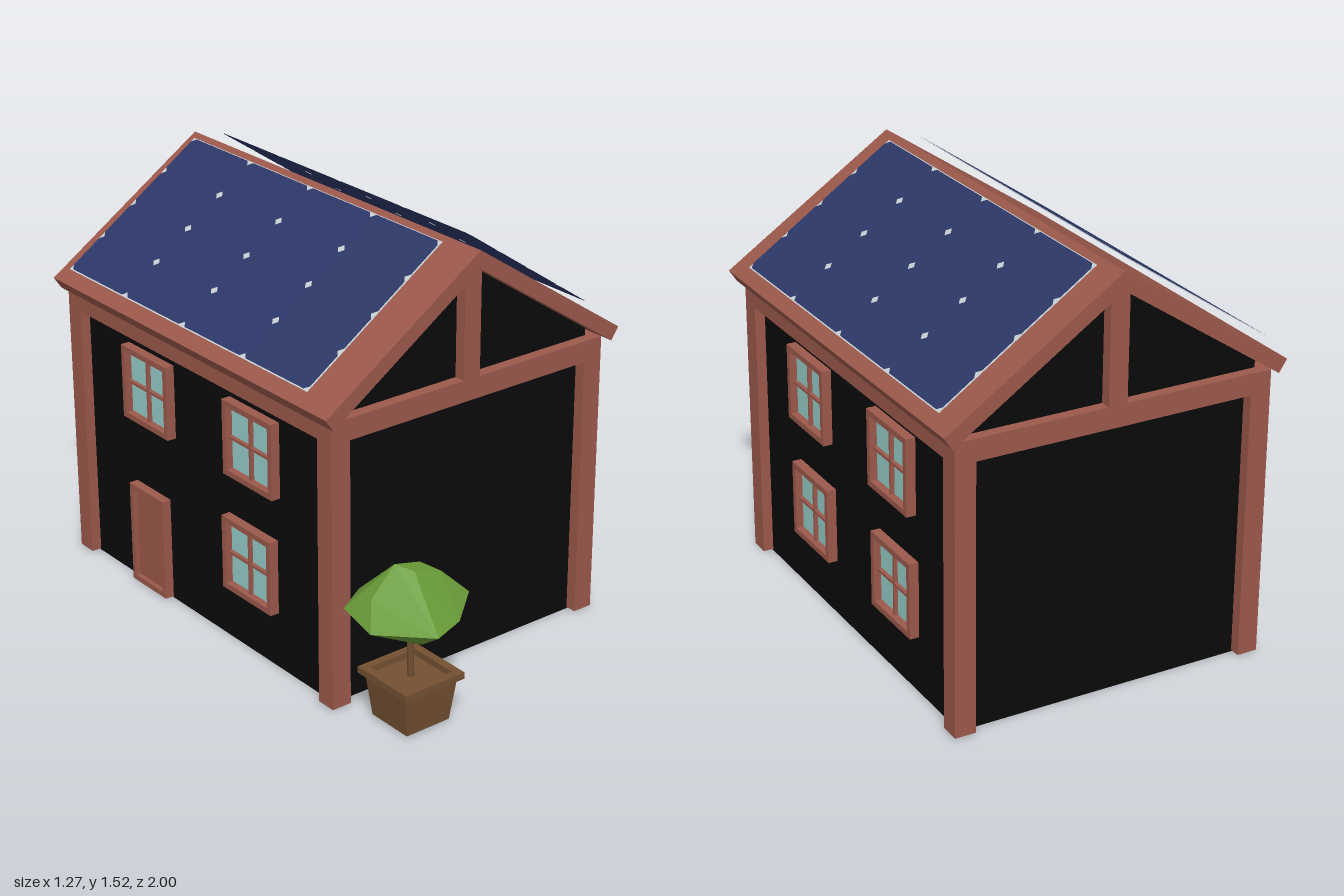
import * as THREE from 'three';
import { ConvexGeometry } from 'three/addons/geometries/ConvexGeometry.js';

const mat = (name, color, extra = {}) => {
  const m = new THREE.MeshStandardMaterial({ color, ...extra });
  m.name = name;
  return m;
};

export function createModel() {
  const M = {
    timber: mat('red timber', 0x9c594c),
    wall: mat('black wall', 0x0a0a0a),
    glass: mat('pale window glass', 0x97d0cc),
    cell: mat('navy solar cell', 0x2d3868, { side: THREE.DoubleSide }),
    backing: mat('light panel backing', 0xc8d0d4),
    pot: mat('brown pot', 0x735032),
    leaf: mat('green leaves', 0x6a9c38),
  };
  const model = new THREE.Group();
  model.name = 'house';

  const add = (parent, name, geo, material, x = 0, y = 0, z = 0) => {
    const mesh = new THREE.Mesh(geo, material);
    mesh.name = name;
    mesh.position.set(x, y, z);
    parent.add(mesh);
    return mesh;
  };
  // Box given by its limits on each axis
  const box = (parent, name, material, [x0, x1], [y0, y1], [z0, z1]) =>
    add(parent, name, new THREE.BoxGeometry(x1 - x0, y1 - y0, z1 - z0), material,
      (x0 + x1) / 2, (y0 + y1) / 2, (z0 + z1) / 2);
  const polygon = (pts) => new THREE.Shape(pts.map(([x, y]) => new THREE.Vector2(x, y)));
  const extrude = (shape, depth) => new THREE.ExtrudeGeometry(shape, { depth, bevelEnabled: false });

  // Walls with gable ends
  add(model, 'walls', extrude(polygon([[-0.55, 0], [0.55, 0], [0.55, 1.083], [0, 1.451], [-0.55, 1.083]]), 1.47),
    M.wall, 0, 0, -0.94);

  // Timber frame: corner posts, ring beam and gable king posts
  const X = 0.588, F = 0.572, B = -0.98, T = 0.076;
  const ends = [[F - T, F], [B, B + T]];
  const sides = [[-X, -X + T], [X - T, X]];
  for (const z of ends) {
    for (const x of sides) box(model, 'cornerPost', M.timber, x, [0.005, 1.055], z);
    box(model, 'endBeam', M.timber, [-X + T, X - T], [0.977, 1.055], z);
    box(model, 'kingPost', M.timber, [-0.035, 0.035], [1.055, 1.455], z);
  }
  for (const x of sides) box(model, 'sideBeam', M.timber, x, [0.977, 1.055], [B + T, F - T]);

  // Roof slab
  add(model, 'roof', extrude(polygon([[0, 1.515], [-0.635, 1.09], [-0.605, 1.045], [0, 1.45], [0.605, 1.045], [0.635, 1.09]]), 1.605),
    M.timber, 0, 0, -1.0);

  // Solar panels: chamfered cells over a light sheet, floating above the roof
  const W = 0.666, L = 1.395, N = 4, c = 0.017;
  const w = W / N / 2, l = L / N / 2;
  const cellGeo = new THREE.ShapeGeometry(polygon([
    [-w + c, -l], [w - c, -l], [w, -l + c], [w, l - c],
    [w - c, l], [-w + c, l], [-w, l - c], [-w, -l + c],
  ])).rotateX(-Math.PI / 2);
  for (const side of [1, -1]) {
    const panel = new THREE.Group();
    panel.name = 'solarPanel';
    panel.position.set(side * 0.335, 1.333, -0.223);
    panel.rotation.z = -side * Math.atan2(0.375, 0.55);
    add(panel, 'panelBacking', new THREE.PlaneGeometry(W + 0.008, L + 0.008).rotateX(-Math.PI / 2), M.backing, 0, -0.003, 0);
    for (let i = 0; i < N; i++) {
      for (let j = 0; j < N; j++) {
        add(panel, 'solarCell', cellGeo, M.cell, (2 * i + 1 - N) * w, 0, (2 * j + 1 - N) * l);
      }
    }
    model.add(panel);
  }

  // Frame with an opening, standing proud of a side wall (local +z points outwards)
  const frame = (width, height, border, depth) => {
    const rect = (a, b) => [[-a, -b], [a, -b], [a, b], [-a, b]];
    const shape = polygon(rect(width / 2, height / 2));
    shape.holes.push(polygon(rect(width / 2 - border, height / 2 - border)));
    return extrude(shape, depth);
  };
  const onSide = (name, side, y, z) => {
    const g = new THREE.Group();
    g.name = name;
    g.position.set(side * 0.55, y, z);
    g.rotation.y = side * Math.PI / 2;
    model.add(g);
    return g;
  };
  const addWindow = (side, y, z) => {
    const g = onSide('window', side, y, z);
    add(g, 'windowFrame', frame(0.278, 0.278, 0.021, 0.035), M.timber);
    box(g, 'windowGlass', M.glass, [-0.122, 0.122], [-0.122, 0.122], [0.001, 0.008]);
    box(g, 'verticalBar', M.timber, [-0.005, 0.005], [-0.12, 0.12], [0.002, 0.022]);
    box(g, 'horizontalBar', M.timber, [-0.12, 0.12], [-0.005, 0.005], [0.002, 0.022]);
  };
  for (const side of [1, -1]) {
    addWindow(side, 0.793, 0.102);
    addWindow(side, 0.793, -0.51);
    addWindow(side, 0.35, 0.085);
  }
  addWindow(1, 0.35, -0.525);

  // Door on the right-hand wall
  const door = onSide('door', -1, 0.2, -0.525);
  add(door, 'doorFrame', frame(0.21, 0.39, 0.021, 0.035), M.timber);
  box(door, 'doorLeaf', M.timber, [-0.086, 0.086], [-0.176, 0.176], [0, 0.018]);

  // Potted tree
  const tree = new THREE.Group();
  tree.name = 'pottedTree';
  model.add(tree);
  const PX = -0.415, PZ = 0.77;
  const body = new THREE.CylinderGeometry(0.108 * Math.SQRT2, 0.09 * Math.SQRT2, 0.157, 4, 1)
    .rotateY(Math.PI / 4).toNonIndexed();
  body.computeVertexNormals();
  add(tree, 'potBody', body, M.pot, PX, 0.0885, PZ);
  add(tree, 'potRim', frame(0.25, 0.25, 0.03, 0.024).rotateX(-Math.PI / 2), M.pot, PX, 0.166, PZ);
  const trunk = add(tree, 'trunk', new THREE.CylinderGeometry(0.009, 0.012, 0.25, 6), M.pot, -0.42, 0.28, PZ);
  trunk.rotation.z = 0.04;

  // Faceted crown
  const crown = [
    // widest ring
    [-0.59, 0.42, 0.635], [-0.61, 0.40, 0.80], [-0.49, 0.43, 0.995], [-0.35, 0.42, 0.935],
    [-0.207, 0.43, 0.815], [-0.25, 0.43, 0.63], [-0.34, 0.43, 0.57], [-0.48, 0.43, 0.575],
    // top
    [-0.56, 0.485, 0.74], [-0.455, 0.577, 0.73], [-0.42, 0.563, 0.79], [-0.34, 0.545, 0.72], [-0.29, 0.515, 0.77],
    // underside
    [-0.53, 0.348, 0.76], [-0.47, 0.355, 0.89], [-0.35, 0.35, 0.86], [-0.27, 0.36, 0.76], [-0.38, 0.35, 0.63], [-0.5, 0.35, 0.65],
  ].map((p) => new THREE.Vector3(...p));
  add(tree, 'crown', new ConvexGeometry(crown), M.leaf);

  return model;
}
